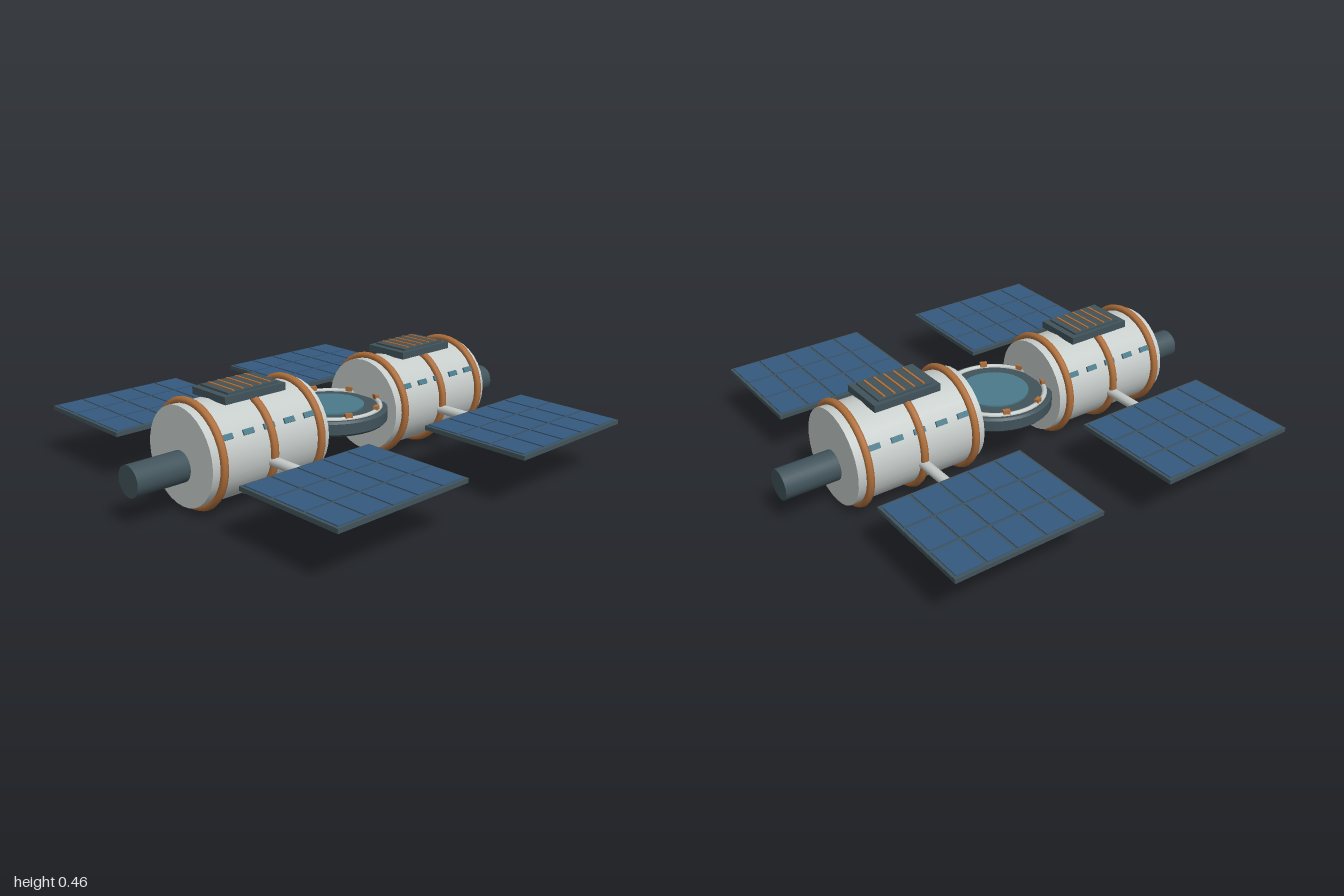
import * as THREE from 'three';

const mat = (color) => new THREE.MeshStandardMaterial({ color });
const hull = mat(0xc6ccca), copper = mat(0xb0703c), dark = mat(0x41535b);
const blue = mat(0x35597f), teal = mat(0x4a7a8a);

const AXIS_Y = 0.224;   // height of the module axis
const BOOM_Y = 0.187;   // height of spine and booms

function add(parent, name, geometry, material, x = 0, y = 0, z = 0) {
  const mesh = new THREE.Mesh(geometry, material);
  mesh.name = name;
  mesh.position.set(x, y, z);
  parent.add(mesh);
  return mesh;
}
const box = (x, y, z) => new THREE.BoxGeometry(x, y, z);
const rod = (r, length, sides) => new THREE.CylinderGeometry(r, r, length, sides);

// Pressurised module with bands, windows and a top radiator
function createHabitat() {
  const g = new THREE.Group();
  g.name = 'habitatModule';
  add(g, 'hull', rod(0.2, 0.574, 32), hull, 0, AXIS_Y).rotation.x = Math.PI / 2;
  for (const z of [-0.24, 0, 0.24])
    add(g, 'copperBand', new THREE.TorusGeometry(0.208, 0.016, 8, 40), copper, 0, AXIS_Y, z);

  for (const side of [-1, 1]) {
    const row = new THREE.Group();
    row.name = 'windowRow';
    row.position.y = AXIS_Y;
    row.rotation.z = side > 0 ? Math.PI / 6 : Math.PI * 5 / 6;
    for (let i = -2; i <= 2; i++) add(row, 'window', box(0.014, 0.022, 0.05), teal, 0.2, 0, i * 0.1);
    g.add(row);
  }

  add(g, 'radiatorBase', box(0.205, 0.03, 0.295), dark, 0, 0.434);
  add(g, 'radiatorTop', box(0.172, 0.01, 0.24), dark, 0, 0.452);
  for (let i = -2; i <= 2; i++)
    add(g, 'radiatorSlat', box(0.155, 0.008, 0.008), copper, 0, 0.458, i * 0.044);
  return g;
}

// Solar panel: frame, 3 x 5 cells on top, crossed braces beneath
function createSolarPanel() {
  const w = 0.496, d = 0.638;
  const g = new THREE.Group();
  g.name = 'solarPanel';
  add(g, 'panelFrame', box(w, 0.018, d), dark);
  const cw = (w - 0.012) / 3, cd = (d - 0.012) / 5;
  for (let i = -1; i <= 1; i++)
    for (let j = -2; j <= 2; j++)
      add(g, 'solarCell', box(cw - 0.012, 0.008, cd - 0.012), blue, i * cw, 0.009, j * cd);
  for (const s of [-1, 1])
    add(g, 'panelBrace', box(0.7, 0.008, 0.008), copper, 0, -0.012).rotation.y = s * Math.atan2(d, w);
  return g;
}

// Round docking hub between the two modules
function createHub() {
  const g = new THREE.Group();
  g.name = 'dockingHub';
  const profile = [[0, 0.2], [0.232, 0.2], [0.242, 0.21], [0.242, 0.255], [0.234, 0.264], [0, 0.264]]
    .map(([r, y]) => new THREE.Vector2(r, y));
  // Each straight run is turned separately so its edges stay sharp
  for (let i = 0; i < profile.length - 1; i++)
    add(g, 'hubBody', new THREE.LatheGeometry([profile[i], profile[i + 1]], 40), dark);
  add(g, 'hubRing', new THREE.TorusGeometry(0.21, 0.011, 8, 48), hull, 0, 0.264).rotation.x = Math.PI / 2;
  add(g, 'hubWindow', rod(0.143, 0.012, 40), teal, 0, 0.265);
  for (let i = 0; i < 8; i++) {
    const a = (i + 0.5) * Math.PI / 4;
    add(g, 'dockingClamp', box(0.018, 0.024, 0.03), copper,
      0.209 * Math.cos(a), 0.275, 0.209 * Math.sin(a)).rotation.y = -a;
  }
  return g;
}

export function createModel() {
  const model = new THREE.Group();
  model.name = 'spaceStation';

  add(model, 'spine', rod(0.063, 2, 24), dark, 0, BOOM_Y).rotation.x = Math.PI / 2;
  model.add(createHub());

  for (const end of [-1, 1]) {
    const z = end * 0.481;
    const habitat = createHabitat();
    habitat.position.z = z;
    model.add(habitat);
    add(model, 'panelBoom', rod(0.021, 1.32, 16), hull, 0, BOOM_Y, z).rotation.z = Math.PI / 2;
    for (const side of [-1, 1]) {
      const panel = createSolarPanel();
      panel.position.set(side * 0.638, 0.22, z);
      model.add(panel);
    }
  }
  return model;
}
